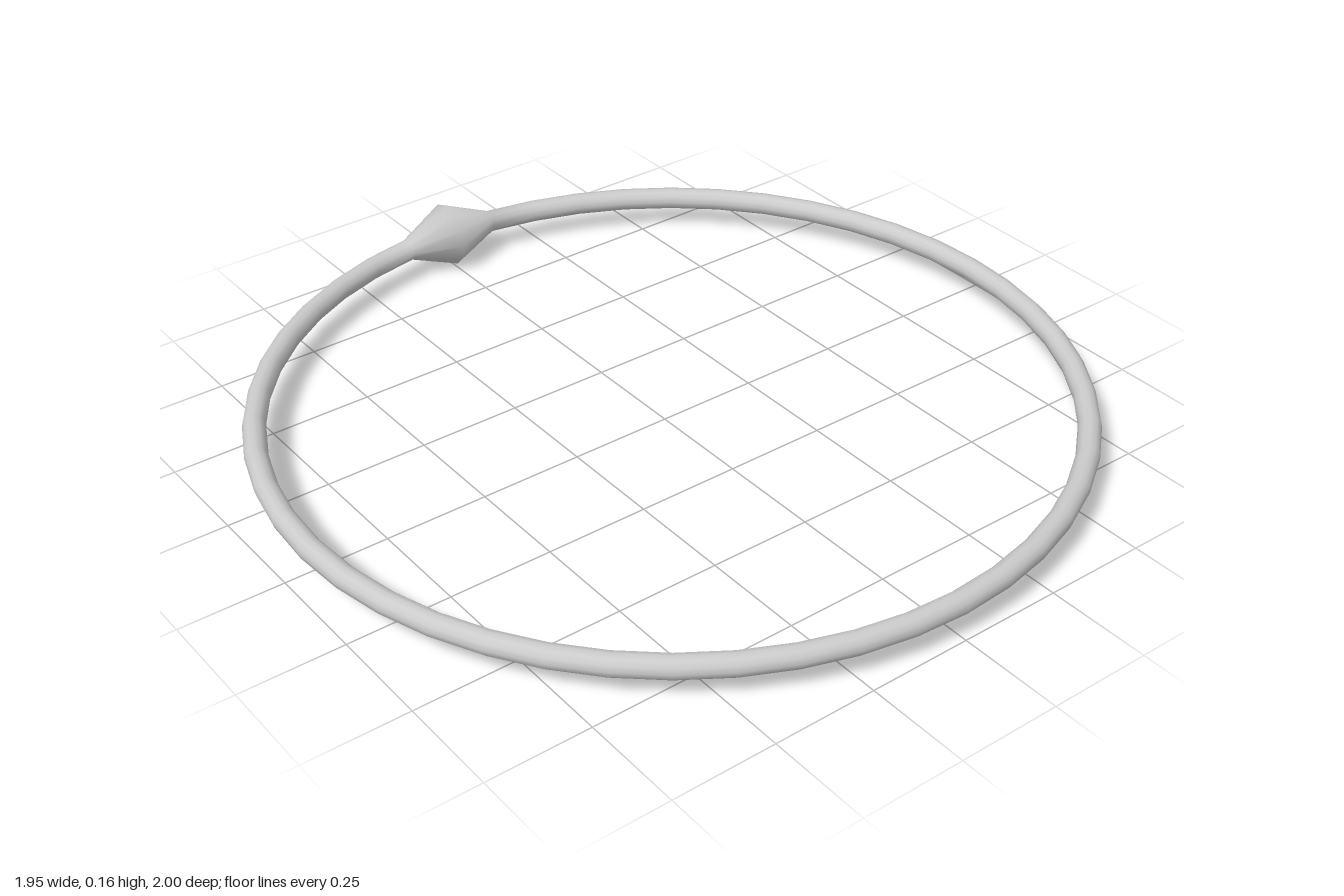
import * as THREE from 'three';
import { mergeVertices } from 'three/addons/utils/BufferGeometryUtils.js';

const RING = 0.9465, TUBE = 0.027, BEAD = 0.08;

export function createModel() {
  const group = new THREE.Group();
  group.name = 'ringBand';

  // Slim hoop, lying flat
  let geo = new THREE.TorusGeometry(RING, TUBE, 12, 48);
  geo.rotateX(-Math.PI / 2);

  // Swell the single cross-section at the back into a pointed bead
  const pos = geo.attributes.position;
  const k = BEAD / TUBE;
  for (let i = 0; i < pos.count; i++) {
    if (Math.abs(pos.getX(i)) < 1e-4 && pos.getZ(i) < 0) {
      pos.setY(i, pos.getY(i) * k);
      pos.setZ(i, -RING + (pos.getZ(i) + RING) * k);
    }
  }

  // Weld the seams so the shading is smooth all round
  geo.deleteAttribute('uv');
  geo.deleteAttribute('normal');
  geo = mergeVertices(geo, 1e-4);
  geo.computeVertexNormals();

  const hoop = new THREE.Mesh(geo, new THREE.MeshStandardMaterial({ color: 0xcccccc }));
  hoop.name = 'hoopWithBead';
  hoop.position.set(0, BEAD, (BEAD - TUBE) / 2);
  group.add(hoop);
  return group;
}
